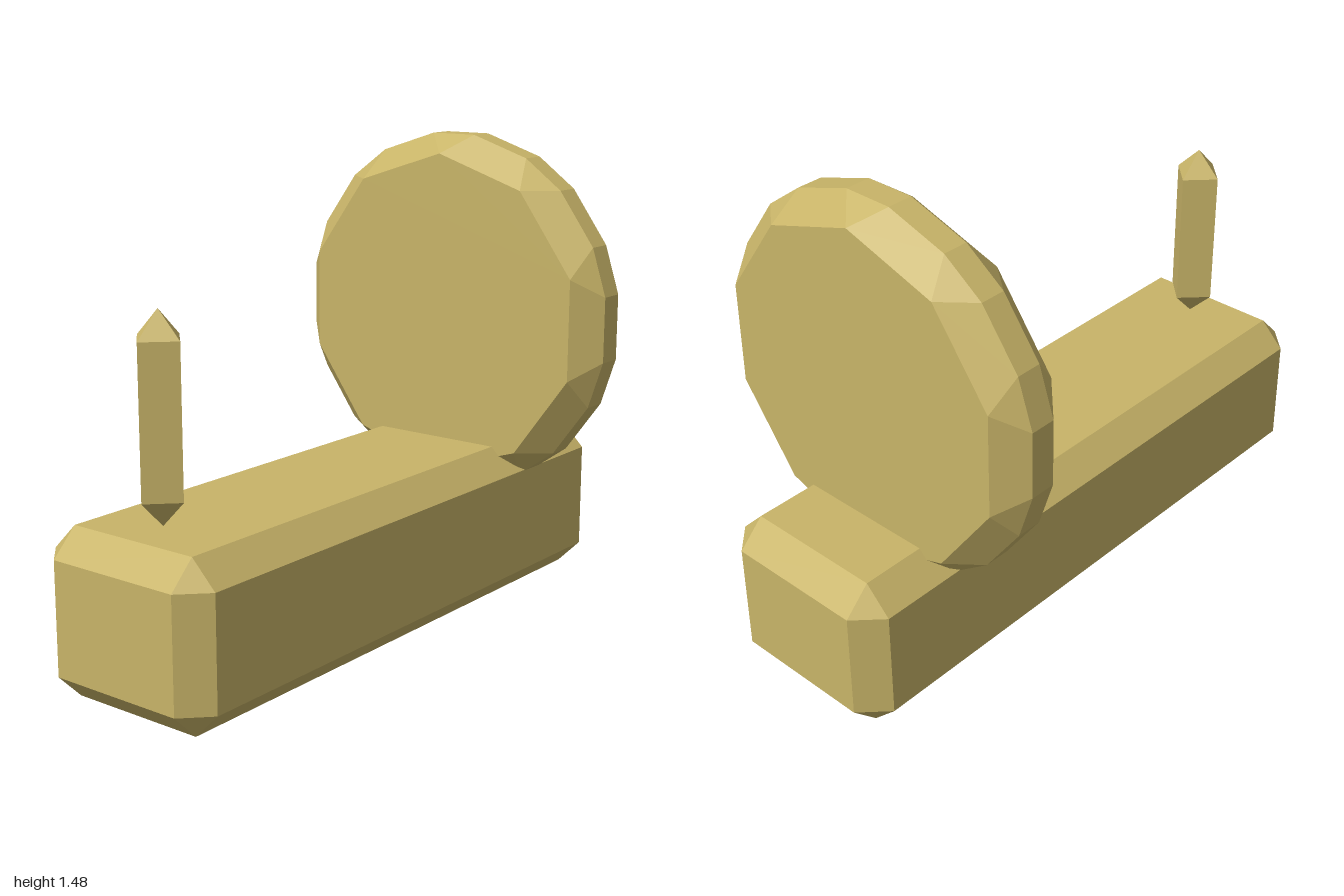
import * as THREE from 'three';
import { ConvexGeometry } from 'three/addons/geometries/ConvexGeometry.js';

const BEVEL = 0.08;

// Box of core half sizes, grown by an octahedron so edges and corners are chamfered
function chamferedSolid(hx, hy, hz) {
  const points = [];
  for (const x of hx ? [-hx, hx] : [0])
    for (const y of hy ? [-hy, hy] : [0])
      for (const z of hz ? [-hz, hz] : [0])
        for (const s of [-BEVEL, BEVEL])
          points.push(
            new THREE.Vector3(x + s, y, z),
            new THREE.Vector3(x, y + s, z),
            new THREE.Vector3(x, y, z + s));
  return new ConvexGeometry(points);
}

// Ten-sided disc facing z, with a bevelled rim and clipped corners
function bevelledDisc(faceRadius, rimRadius, clipAngle, faceZ, rimZ) {
  const points = [];
  const add = (radius, angle, z) =>
    points.push(new THREE.Vector3(radius * Math.sin(angle), radius * Math.cos(angle), z));
  for (let i = 0; i < 10; i++) {
    const angle = (i * Math.PI) / 5;
    for (const side of [-1, 1]) {
      add(faceRadius, angle, side * faceZ);
      add(rimRadius, angle - clipAngle, side * rimZ);
      add(rimRadius, angle + clipAngle, side * rimZ);
    }
  }
  return new ConvexGeometry(points);
}

export function createModel() {
  const model = new THREE.Group();
  const brass = new THREE.MeshStandardMaterial({ color: 0xc8b468 });
  brass.name = 'brass';

  const addPart = (name, geometry, x, y, z) => {
    const mesh = new THREE.Mesh(geometry, brass);
    mesh.name = name;
    mesh.position.set(x, y, z);
    model.add(mesh);
  };

  // Long base block
  addPart('base', chamferedSolid(0.22, 0.17, 0.92), 0, 0.25, 0);
  // Upright disc near the back
  addPart('disc', bevelledDisc(0.517, 0.58, 0.136, 0.12, 0.04), 0, 0.91, -0.6);
  // Pointed post near the front
  addPart('post', chamferedSolid(0, 0.22, 0), 0, 0.81, 0.8);

  return model;
}
